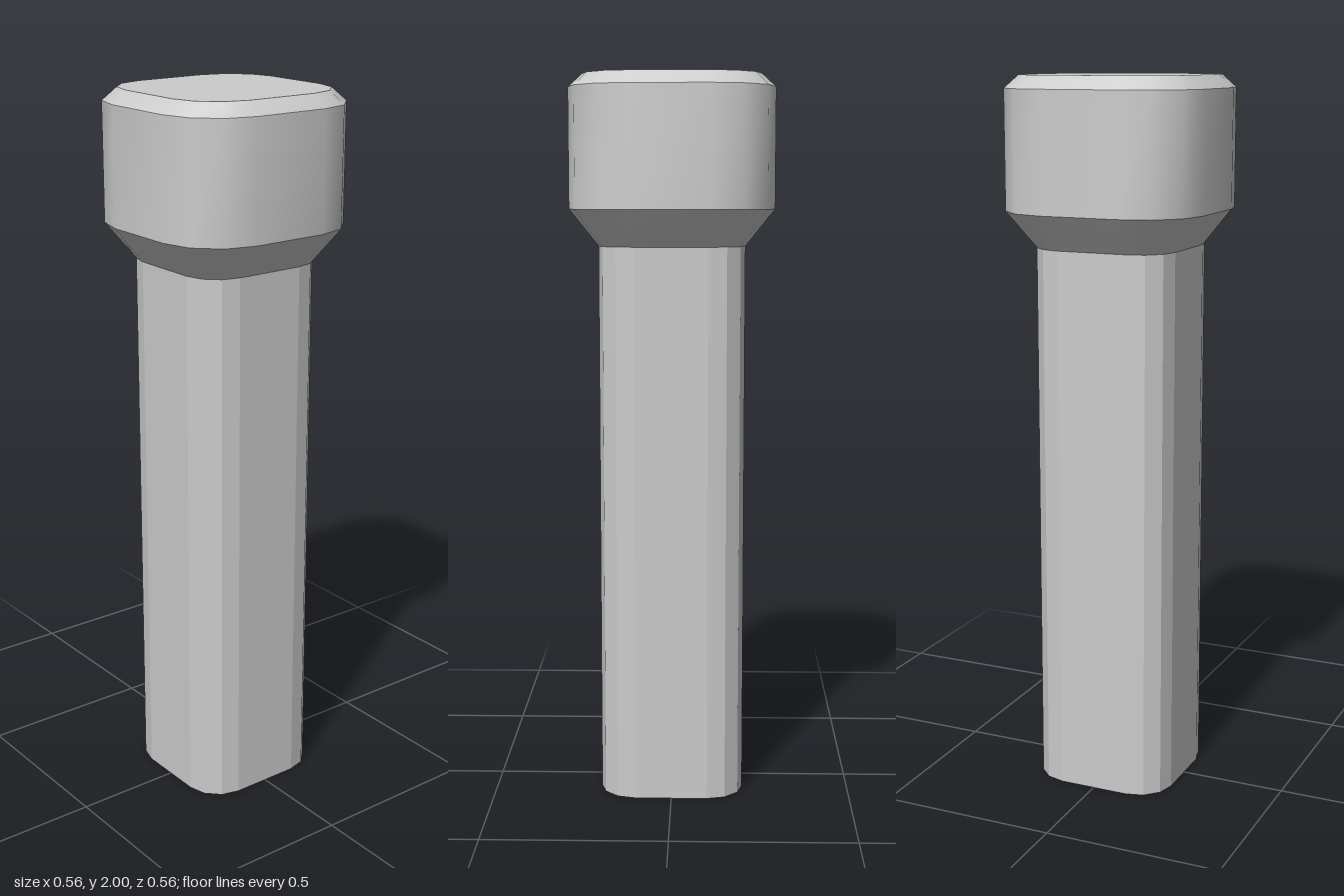
import * as THREE from 'three';
import { toCreasedNormals } from 'three/addons/utils/BufferGeometryUtils.js';

const STEPS = 3; // facets per rounded corner

// Rounded-square ring: half width h, corner radius r, at height y
function ring(h, r, y) {
  const points = [];
  for (let corner = 0; corner < 4; corner++) {
    const mid = Math.PI / 4 + corner * Math.PI / 2;
    const cx = Math.sign(Math.cos(mid)) * (h - r);
    const cz = Math.sign(Math.sin(mid)) * (h - r);
    for (let i = 0; i <= STEPS; i++) {
      const a = (corner + i / STEPS) * Math.PI / 2;
      points.push([cx + r * Math.cos(a), y, cz + r * Math.sin(a)]);
    }
  }
  return points;
}

// Skin between rings listed bottom to top, with an optional flat cap
function skin(rings, capped) {
  const n = rings[0].length;
  const positions = rings.flat(2);
  const index = [];
  for (let k = 0; k < rings.length - 1; k++) {
    for (let i = 0; i < n; i++) {
      const j = (i + 1) % n;
      const a = k * n + i, b = k * n + j;
      index.push(a, a + n, b, b, a + n, b + n);
    }
  }
  if (capped) {
    const base = (rings.length - 1) * n;
    const center = rings.length * n;
    positions.push(0, rings[rings.length - 1][0][1], 0);
    for (let i = 0; i < n; i++) index.push(base + i, center, base + (i + 1) % n);
  }
  const geometry = new THREE.BufferGeometry();
  geometry.setAttribute('position', new THREE.Float32BufferAttribute(positions, 3));
  geometry.setIndex(index);
  return geometry;
}

export function createModel() {
  const group = new THREE.Group();
  group.name = 'post';
  const add = (name, geometry, flatShading) => {
    const material = new THREE.MeshStandardMaterial({
      color: 0xcccccc, side: THREE.DoubleSide, flatShading,
    });
    const mesh = new THREE.Mesh(geometry, material);
    mesh.name = name;
    group.add(mesh);
  };

  // Hollow shaft, open at the foot
  add('shaft', skin([ring(0.2, 0.1, 0), ring(0.2, 0.1, 1.54)], false), true);

  // Head: flared underside, straight sides, bevelled top
  const head = skin([
    ring(0.2, 0.1, 1.54),
    ring(0.28, 0.17, 1.64),
    ring(0.28, 0.17, 1.965),
    ring(0.242, 0.138, 2),
  ], true);
  add('head', toCreasedNormals(head, THREE.MathUtils.degToRad(35)), false);

  return group;
}
